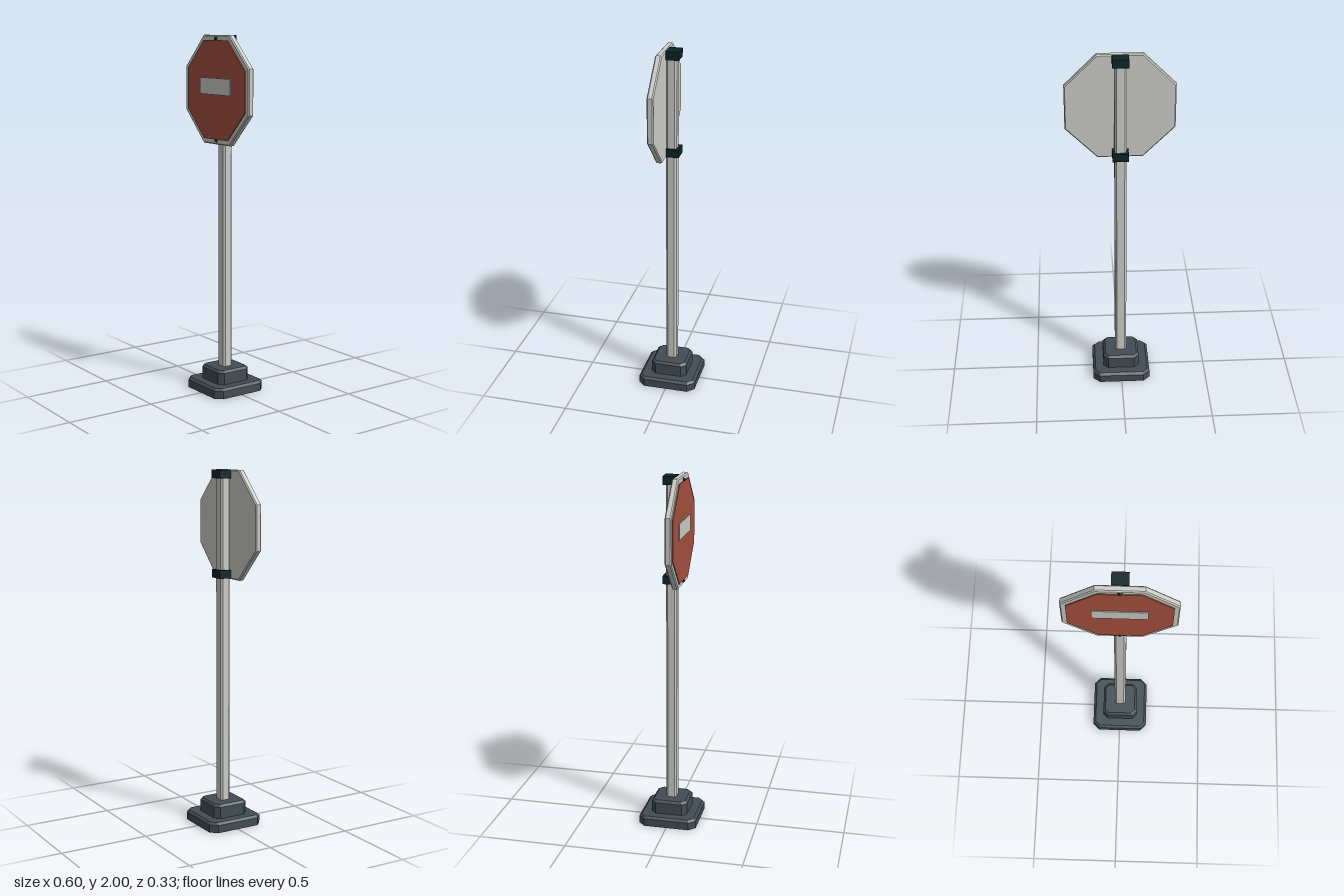
import * as THREE from 'three';
import { ConvexGeometry } from 'three/addons/geometries/ConvexGeometry.js';

const mat = (name, color) => {
  const m = new THREE.MeshStandardMaterial({ color });
  m.name = name;
  return m;
};

// Faceted solid stacked from cut-corner rectangles: [y, half width, half depth, corner cut]
function cutCornerSolid(layers) {
  const points = [];
  for (const [y, w, d, c] of layers) {
    for (const sx of [-1, 1]) for (const sz of [-1, 1]) {
      points.push(new THREE.Vector3(sx * (w - c), y, sz * d));
      points.push(new THREE.Vector3(sx * w, y, sz * (d - c)));
    }
  }
  return new ConvexGeometry(points);
}

// Regular octagon layer, sized by its flat-to-flat half width
const octagon = (y, r) => [y, r, r, r * (2 - Math.SQRT2)];

export function createModel() {
  const white = mat('pale grey', 0xccccc8);
  const red = mat('sign red', 0xa5503e);
  const slate = mat('dark slate', 0x414d55);
  const black = mat('green black', 0x0d2426);

  const model = new THREE.Group();
  model.name = 'roadSign';
  const add = (name, geometry, material, x = 0, y = 0, z = 0, parent = model) => {
    const mesh = new THREE.Mesh(geometry, material);
    mesh.name = name;
    mesh.position.set(x, y, z);
    parent.add(mesh);
    return mesh;
  };

  // Two-step weighted base
  add('lowerBase', cutCornerSolid([
    [0, 0.166, 0.166, 0.037], [0.044, 0.166, 0.166, 0.037], [0.057, 0.152, 0.152, 0.026],
  ]), slate);
  add('upperBase', cutCornerSolid([
    [0.05, 0.104, 0.104, 0.027], [0.123, 0.104, 0.104, 0.027], [0.136, 0.091, 0.091, 0.021],
  ]), slate);

  // Post with cut corners
  add('post', cutCornerSolid([[0.13, 0.033, 0.03, 0.011], [1.99, 0.033, 0.03, 0.011]]), white);

  // Octagonal panel, modelled lying down and then stood up
  const sign = new THREE.Group();
  sign.name = 'sign';
  sign.position.y = 1.702;
  sign.rotation.x = Math.PI / 2;
  model.add(sign);
  add('panel', cutCornerSolid([
    octagon(0.025, 0.292), octagon(0.031, 0.298), octagon(0.054, 0.298), octagon(0.06, 0.292),
  ]), white, 0, 0, 0, sign);
  add('redFace', cutCornerSolid([octagon(0.058, 0.27), octagon(0.065, 0.27)]), red, 0, 0, 0, sign);

  // Raised horizontal bar
  add('bar', new THREE.BoxGeometry(0.286, 0.09, 0.008), white, 0, 1.722, 0.066);

  // Clamps behind the panel and bolts through its rim
  for (const y of [1.977, 1.433]) {
    add('clamp', new THREE.BoxGeometry(0.088, 0.046, 0.071), black, 0, y, -0.0095);
  }
  for (const y of [1.979, 1.428]) {
    const bolt = new THREE.CylinderGeometry(0.004, 0.015, 0.012, 6).toNonIndexed();
    bolt.rotateX(Math.PI / 2);
    bolt.computeVertexNormals();
    add('bolt', bolt, black, 0, y, 0.064);
  }
  return model;
}
